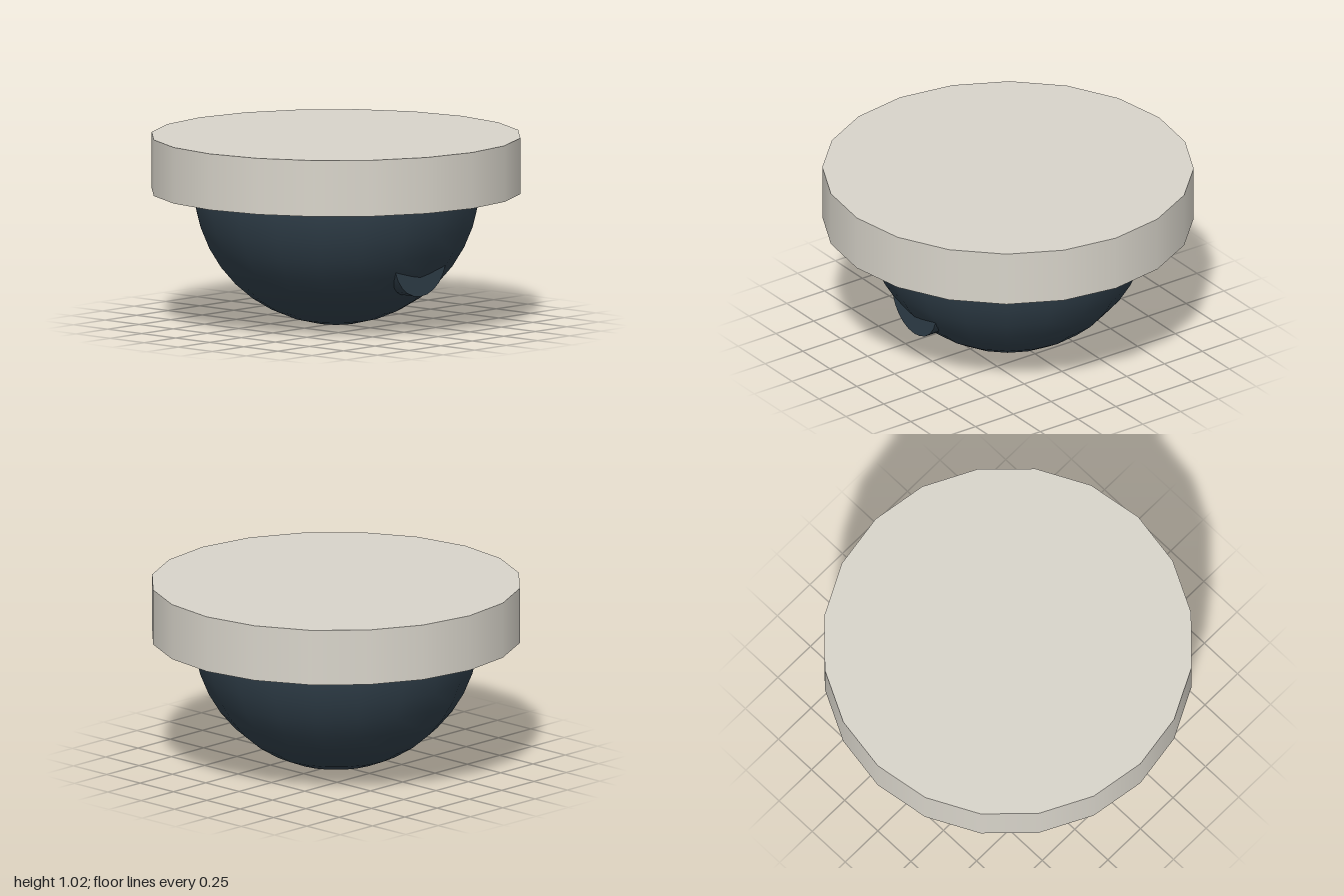
import * as THREE from 'three';

export function createModel() {
  const model = new THREE.Group();
  const housing = new THREE.MeshStandardMaterial({ name: 'warm grey housing', color: 0xd8d4ca });
  const glass = new THREE.MeshStandardMaterial({ name: 'dark tinted glass', color: 0x303f4a });

  const add = (name, geometry, material, y, z = 0) => {
    const mesh = new THREE.Mesh(geometry, material);
    mesh.name = name;
    mesh.position.set(0, y, z);
    model.add(mesh);
  };

  // Mounting disc
  const discBottom = 0.72, discTop = 1.025;
  add('mountingDisc', new THREE.CylinderGeometry(1, 1, discTop - discBottom, 20), housing, (discBottom + discTop) / 2);

  // Lower half sphere, its rim tucked into the disc
  const domeRadius = 0.78;
  add('dome', new THREE.SphereGeometry(domeRadius, 20, 10, 0, Math.PI * 2, Math.PI / 2, Math.PI / 2), glass, domeRadius);

  // Lens barrel pushing out of the dome's lower front
  const lensLength = 0.32, lensFront = 0.62;
  const lens = new THREE.CylinderGeometry(0.205, 0.205, lensLength, 24).rotateX(Math.PI / 2);
  add('lens', lens, glass, 0.41, lensFront - lensLength / 2);

  return model;
}
